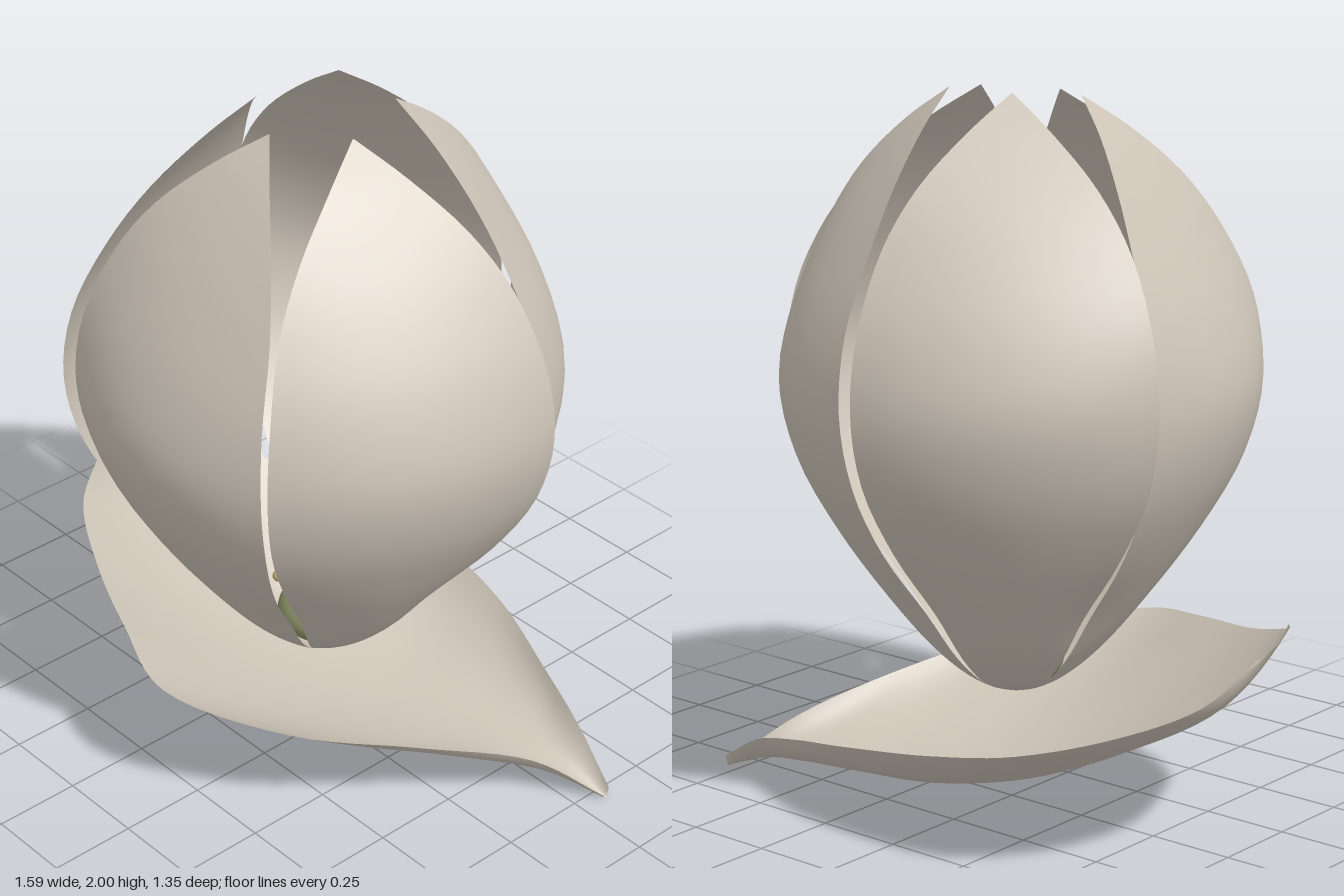
import * as THREE from 'three';

const petalMat = new THREE.MeshStandardMaterial({ name: 'petal cream', color: 0xcec5b8, side: THREE.DoubleSide });
const ovaryMat = new THREE.MeshStandardMaterial({ name: 'ovary green', color: 0x8b9266 });
const stamenMat = new THREE.MeshStandardMaterial({ name: 'stamen yellow', color: 0xc2aa76 });

// Thin curved sheet: every cross-section is a parabola through one rim, the middle and the other rim.
function sheet(rimA, middle, rimB, nu, nv) {
  const [a, m, b] = [rimA, middle, rimB].map(
    pts => new THREE.CatmullRomCurve3(pts.map(p => new THREE.Vector3(...p))));
  const geo = new THREE.PlaneGeometry(1, 1, nu, nv);
  const pos = geo.attributes.position;
  const uv = geo.attributes.uv;
  for (let i = 0; i < pos.count; i++) {
    const t = uv.getY(i), v = uv.getX(i) * 2 - 1;
    const p = m.getPoint(t).multiplyScalar(1 - v * v)
      .addScaledVector(a.getPoint(t), v * (v - 1) / 2)
      .addScaledVector(b.getPoint(t), v * (v + 1) / 2);
    pos.setXYZ(i, p.x, p.y, p.z);
  }
  geo.computeVertexNormals();
  return geo;
}

export function createModel() {
  const model = new THREE.Group();
  model.name = 'flower';
  const bloom = new THREE.Group();
  bloom.name = 'bloom';
  bloom.position.z = 0.02;
  model.add(bloom);

  // Upright petal: height, middle radius, half width, rim radius
  const rows = [
    [0.31, 0.02, 0.01, 0.015], [0.335, 0.09, 0.055, 0.075], [0.37, 0.15, 0.09, 0.125],
    [0.45, 0.24, 0.135, 0.2], [0.6, 0.365, 0.2, 0.3], [0.8, 0.505, 0.302, 0.44],
    [1.0, 0.61, 0.378, 0.535], [1.2, 0.65, 0.403, 0.572], [1.4, 0.6, 0.384, 0.55],
    [1.6, 0.495, 0.325, 0.47], [1.75, 0.39, 0.235, 0.385], [1.88, 0.28, 0.11, 0.28],
    [1.97, 0.185, 0.002, 0.185],
  ];
  // one rim tucks slightly inside the neighbouring petal
  const tuck = w => 0.2 * w * w;
  const petalGeo = sheet(
    rows.map(([y, , w, e]) => [-w + tuck(w) * 0.3, y, e - tuck(w)]),
    rows.map(([y, r]) => [0, y, r]),
    rows.map(([y, , w, e]) => [w, y, e]), 16, 48);
  for (let i = 0; i < 5; i++) {
    const petal = new THREE.Mesh(petalGeo, petalMat);
    petal.name = 'petal' + (i + 1);
    petal.rotation.y = i * Math.PI * 2 / 5;
    // the rear petals stand slightly taller
    const s = [1, 1.006, 1.018, 1.018, 1.006][i];
    petal.scale.y = s;
    petal.position.y = 0.31 * (1 - s);
    bloom.add(petal);
  }

  // Ovary seated in the cup of the bloom
  const ovaryProfile = new THREE.SplineCurve([
    [0, 0.315], [0.065, 0.33], [0.11, 0.36], [0.132, 0.4], [0.118, 0.445], [0.07, 0.475], [0, 0.485],
  ].map(p => new THREE.Vector2(...p)));
  const ovary = new THREE.Mesh(new THREE.LatheGeometry(ovaryProfile.getPoints(24), 32), ovaryMat);
  ovary.name = 'ovary';
  bloom.add(ovary);

  // Stamens in an inner and an outer ring, each a filament with a round head
  const headGeo = new THREE.SphereGeometry(0.0175, 12, 8);
  const up = new THREE.Vector3(0, 1, 0);
  const ring = (count, rootR, rootY, headR, headY, turn) => {
    for (let i = 0; i < count; i++) {
      const a = turn + i * Math.PI * 2 / count;
      const r = headR + 0.01 * Math.sin(i * 2.4);
      const root = new THREE.Vector3(Math.sin(a) * rootR, rootY, Math.cos(a) * rootR);
      const tip = new THREE.Vector3(Math.sin(a) * r, headY + 0.02 * Math.cos(i * 1.7), Math.cos(a) * r);
      const dir = tip.clone().sub(root);
      const stamen = new THREE.Group();
      stamen.name = 'stamen';
      const filament = new THREE.Mesh(new THREE.CylinderGeometry(0.004, 0.005, dir.length(), 6), stamenMat);
      filament.name = 'filament';
      filament.position.copy(root).addScaledVector(dir, 0.5);
      filament.quaternion.setFromUnitVectors(up, dir.normalize());
      const head = new THREE.Mesh(headGeo, stamenMat);
      head.name = 'anther';
      head.position.copy(tip);
      stamen.add(filament, head);
      bloom.add(stamen);
    }
  };
  ring(10, 0.06, 0.47, 0.097, 0.56, 0.2);
  ring(9, 0.085, 0.455, 0.14, 0.55, 0.45);

  // Fallen petal cupped below the bloom, from its broad raised end to its pointed tip
  const front = [
    [-0.79, 0.61, 0.2], [-0.7, 0.55, 0.33], [-0.5, 0.485, 0.44], [-0.25, 0.45, 0.54], [0, 0.41, 0.61],
    [0.3, 0.33, 0.42], [0.5, 0.245, 0.12], [0.66, 0.14, -0.17], [0.79, 0.01, -0.325],
  ];
  const middle = [
    [-0.8, 0.57, 0.14], [-0.72, 0.42, 0.05], [-0.49, 0.28, 0], [-0.22, 0.165, -0.05], [0.05, 0.105, -0.1],
    [0.3, 0.085, -0.16], [0.52, 0.07, -0.24], [0.66, 0.045, -0.29], [0.79, 0, -0.335],
  ];
  const back = [
    [-0.79, 0.54, 0.06], [-0.77, 0.46, -0.15], [-0.66, 0.41, -0.37], [-0.46, 0.36, -0.53], [-0.2, 0.31, -0.56],
    [0.15, 0.25, -0.53], [0.42, 0.19, -0.45], [0.62, 0.13, -0.39], [0.79, 0.03, -0.345],
  ];
  const fallen = new THREE.Mesh(sheet(front, middle, back, 20, 48), petalMat);
  fallen.name = 'fallenPetal';
  model.add(fallen);
  return model;
}
